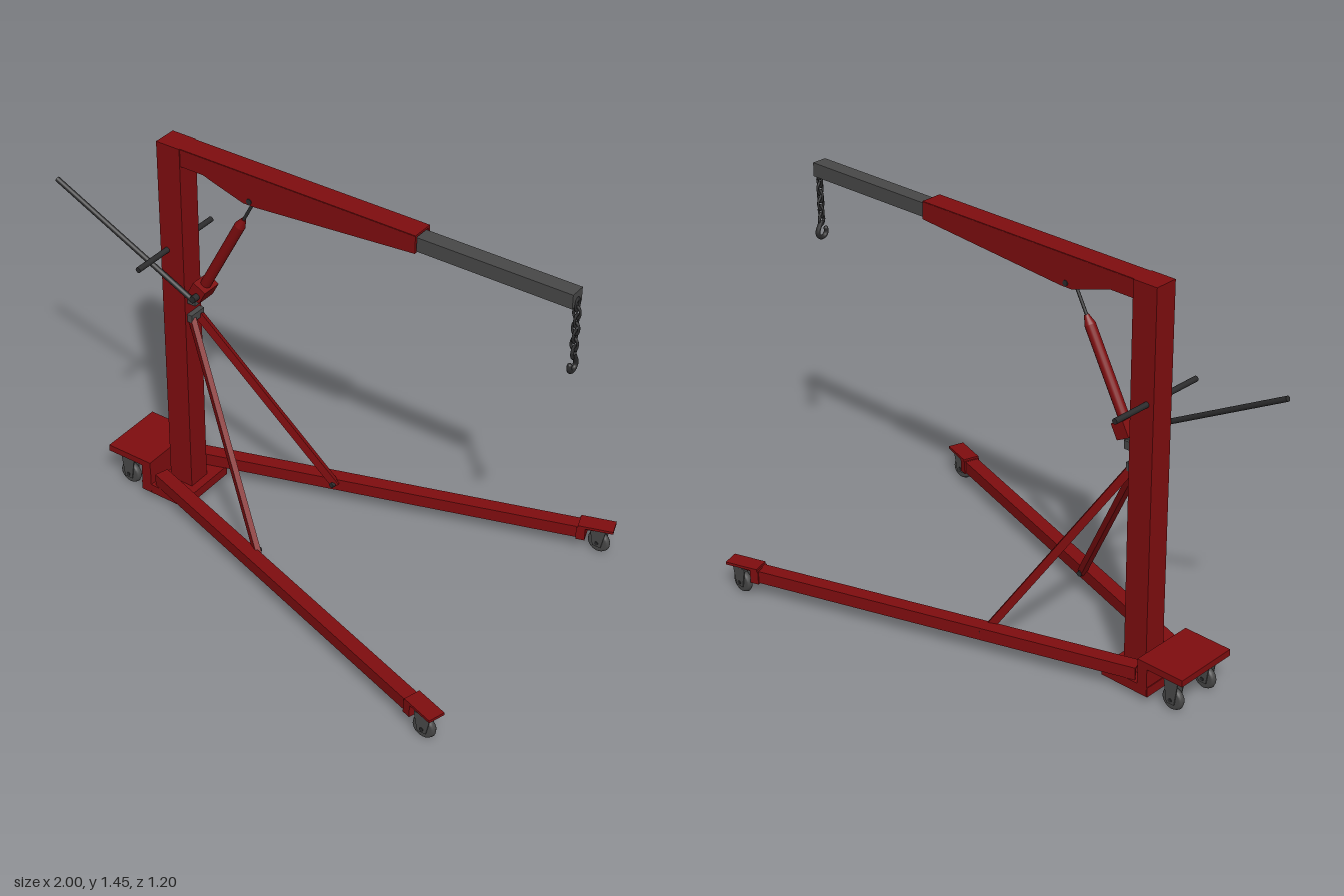
import * as THREE from 'three';

const red = new THREE.MeshStandardMaterial({ color: 0x7f0d0f });
red.name = 'red paint';
const grey = new THREE.MeshStandardMaterial({ color: 0x484848 });
grey.name = 'grey steel';
const dark = new THREE.MeshStandardMaterial({ color: 0x2b2b2c });
dark.name = 'dark steel';
const V = (x, y, z) => new THREE.Vector3(x, y, z);

function add(parent, name, geometry, material, x = 0, y = 0, z = 0) {
  const mesh = new THREE.Mesh(geometry, material);
  mesh.name = name;
  mesh.position.set(x, y, z);
  parent.add(mesh);
  return mesh;
}

// Box given by its limits on each axis
function block(parent, name, material, x0, x1, y0, y1, z0, z1) {
  return add(parent, name, new THREE.BoxGeometry(x1 - x0, y1 - y0, z1 - z0), material,
    (x0 + x1) / 2, (y0 + y1) / 2, (z0 + z1) / 2);
}

// Round bar between two points; rA at the start, rB at the end
function rod(parent, name, material, a, b, rA, rB = rA, sides = 16) {
  const mesh = add(parent, name, new THREE.CylinderGeometry(rB, rA, a.distanceTo(b), sides), material);
  mesh.position.copy(a).lerp(b, 0.5);
  mesh.quaternion.setFromUnitVectors(V(0, 1, 0), b.clone().sub(a).normalize());
  return mesh;
}

// Square bar between two points
function bar(parent, name, material, a, b, w, h) {
  const mesh = add(parent, name, new THREE.BoxGeometry(w, h, a.distanceTo(b)), material);
  mesh.position.copy(a).lerp(b, 0.5);
  mesh.lookAt(b);
  return mesh;
}

// Wheel with rounded tread, hub, fork and swivel
function caster(parent, x, z, top) {
  const g = new THREE.Group();
  g.name = 'caster';
  g.position.set(x, 0, z);
  parent.add(g);
  const r = 0.043;
  const profile = [[0, -0.012], [0.032, -0.012], [0.039, -0.009], [r, 0], [0.039, 0.009], [0.032, 0.012], [0, 0.012]];
  const wheel = new THREE.LatheGeometry(profile.map(([a, b]) => new THREE.Vector2(a, b)), 24).rotateX(Math.PI / 2);
  add(g, 'wheel', wheel, grey, 0, r, 0);
  const s = new THREE.Shape();
  s.moveTo(-0.016, r - 0.014);
  s.lineTo(0.016, r - 0.014);
  s.lineTo(0.03, top - 0.012);
  s.lineTo(-0.03, top - 0.012);
  s.closePath();
  for (const side of [-1, 1]) {
    const plate = new THREE.ExtrudeGeometry(s, { depth: 0.004, bevelEnabled: false });
    add(g, 'forkPlate', plate, grey, 0, 0, side * 0.017 - 0.002);
  }
  block(g, 'forkCrown', grey, -0.03, 0.03, top - 0.016, top - 0.006, -0.019, 0.019);
  add(g, 'swivel', new THREE.CylinderGeometry(0.022, 0.022, 0.008, 20), grey, 0, top - 0.004, 0);
  rod(g, 'axle', dark, V(0, r, -0.022), V(0, r, 0.022), 0.007);
}

function createBase(model) {
  const base = new THREE.Group();
  base.name = 'base';
  model.add(base);
  block(base, 'basePlate', red, -0.645, -0.447, 0.026, 0.062, -0.122, 0.122);
  block(base, 'baseRiser', red, -0.642, -0.602, 0.03, 0.16, -0.123, 0.123);
  block(base, 'rearPlate', red, -0.79, -0.602, 0.135, 0.16, -0.124, 0.124);
  for (const s of [-1, 1]) caster(base, -0.725, s * 0.083, 0.135);
}

// Splayed leg: channel open underneath, with end bracket, caster and brace
function createLeg(model, s) {
  const leg = new THREE.Group();
  leg.name = s > 0 ? 'leftLeg' : 'rightLeg';
  leg.position.set(-0.55, 0, s * 0.1);
  leg.rotation.y = -s * Math.atan(0.324);
  model.add(leg);
  block(leg, 'legTop', red, -0.03, 1.46, 0.104, 0.111, -0.026, 0.026);
  for (const e of [-1, 1]) {
    block(leg, 'legSide', red, -0.03, 1.42, 0.064, 0.108, e * 0.0225 - 0.0035, e * 0.0225 + 0.0035);
  }
  block(leg, 'endBlock', red, 1.4, 1.432, 0.06, 0.112, -0.031, 0.031);
  block(leg, 'casterPlate', red, 1.405, 1.53, 0.11, 0.12, -0.031, 0.031);
  caster(model, 0.855, s * 0.56, 0.111);

  bar(model, 'brace', red, V(-0.47, 0.78, s * 0.018), V(-0.042, 0.09, s * 0.235), 0.02, 0.028);
  rod(model, 'braceBolt', dark, V(-0.048, 0.095, s * 0.215), V(-0.038, 0.095, s * 0.29), 0.01);
}

function createBoom(model) {
  const boom = new THREE.Group();
  boom.name = 'boom';
  model.add(boom);
  block(boom, 'boomTop', red, -0.5, 0.433, 1.442, 1.45, -0.04, 0.04);
  // Side plates that deepen at the jack mount
  const s = new THREE.Shape();
  [[-0.5, 1.448], [-0.5, 1.385], [-0.385, 1.385], [-0.345, 1.372], [-0.225, 1.336], [-0.18, 1.336],
    [0.433, 1.386], [0.433, 1.448]].forEach(([x, y], i) => (i ? s.lineTo(x, y) : s.moveTo(x, y)));
  for (const e of [-1, 1]) {
    const plate = new THREE.ExtrudeGeometry(s, { depth: 0.009, bevelEnabled: false });
    add(boom, 'boomSide', plate, red, 0, 0, e * 0.0365 - 0.0045);
  }
  rod(boom, 'jackPin', dark, V(-0.2, 1.35, -0.044), V(-0.2, 1.35, 0.044), 0.01);
  block(boom, 'extension', grey, 0.2, 0.978, 1.387, 1.437, -0.028, 0.028);
}

function createChain(model) {
  const chain = new THREE.Group();
  chain.name = 'chain';
  chain.position.set(0.98, 0, 0);
  model.add(chain);
  // Alternating oval links
  const link = new THREE.TorusGeometry(0.0115, 0.0042, 8, 18).scale(1, 1.75, 1);
  for (let i = 0; i < 7; i++) {
    add(chain, 'link', link, dark, 0, 1.39 - i * 0.0285, 0).rotation.y = i % 2 ? 0 : Math.PI / 2;
  }
  // Hook: shank then a curl in the y-z plane
  const points = [V(0, 1.215, 0), V(0, 1.2, -0.008)];
  for (let i = 0; i <= 8; i++) {
    const a = 0.45 - i * 0.5;
    points.push(V(0, 1.171 + 0.02 * Math.sin(a), -0.02 * Math.cos(a)));
  }
  const hook = new THREE.TubeGeometry(new THREE.CatmullRomCurve3(points), 36, 0.0085, 10);
  add(chain, 'hook', hook, dark);
  const end = points[points.length - 1];
  add(chain, 'hookTip', new THREE.SphereGeometry(0.0085, 12, 8), dark, end.x, end.y, end.z);
  add(chain, 'hookEye', new THREE.TorusGeometry(0.011, 0.005, 8, 18).rotateY(Math.PI / 2), dark, 0, 1.217, 0);
}

function createJack(model) {
  const jack = new THREE.Group();
  jack.name = 'jack';
  model.add(jack);
  const foot = V(-0.455, 0.865, 0), head = V(-0.2, 1.345, 0);
  const at = t => foot.clone().lerp(head, t);
  block(jack, 'jackMount', grey, -0.482, -0.445, 0.845, 0.875, -0.03, 0.03);
  bar(jack, 'jackFoot', grey, at(0), at(0.08), 0.04, 0.03);
  bar(jack, 'pumpBlock', red, at(0.035), at(0.14), 0.076, 0.055);
  rod(jack, 'cylinder', red, at(0.12), at(0.73), 0.019);
  rod(jack, 'cylinderNeck', red, at(0.73), at(0.79), 0.019, 0.008);
  rod(jack, 'pistonRod', dark, at(0.78), at(1), 0.0055);
  // Pump lever
  rod(jack, 'handleSocket', dark, V(-0.43, 0.895, 0.03), V(-0.43, 0.895, 0.062), 0.012);
  rod(jack, 'pumpHandle', dark, V(-0.43, 0.882, 0.052), V(-0.995, 1.178, 0.072), 0.0095);
}

export function createModel() {
  const model = new THREE.Group();
  model.name = 'workshopCrane';
  createBase(model);
  block(model, 'mast', red, -0.573, -0.478, 0.05, 1.45, -0.044, 0.044);
  for (const s of [1, -1]) createLeg(model, s);
  createBoom(model);
  createChain(model);
  createJack(model);
  // Push bar through the mast and the bracket holding the braces
  rod(model, 'pushBar', dark, V(-0.545, 1.043, -0.197), V(-0.545, 1.043, 0.2), 0.01);
  block(model, 'braceBracket', grey, -0.48, -0.458, 0.772, 0.802, -0.034, 0.034);
  return model;
}
